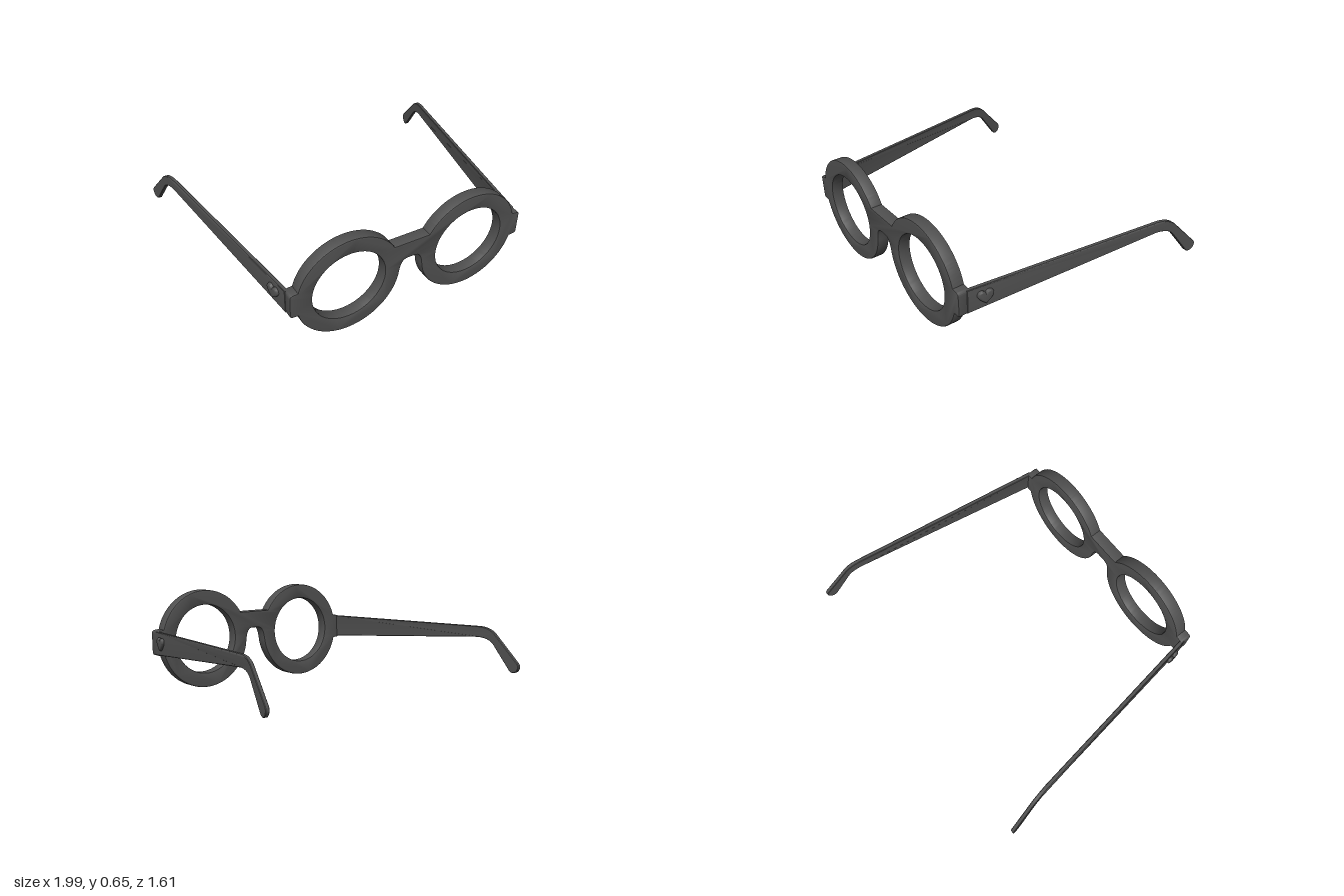
import * as THREE from 'three';
import { toCreasedNormals } from 'three/addons/utils/BufferGeometryUtils.js';

const material = new THREE.MeshStandardMaterial({ color: 0x505050 });
const CX = 0.4, CY = 0.329, R_OUT = 0.327, R_IN = 0.23;

// Extrudes a shape centred on depth 0, with a bevel kept inside the outline
function extrude(shape, depth, bevel, segments = 2) {
  const g = new THREE.ExtrudeGeometry(shape, {
    depth: depth - 2 * bevel, curveSegments: 40, bevelEnabled: true,
    bevelThickness: bevel, bevelSize: bevel, bevelOffset: -bevel, bevelSegments: segments,
  });
  return g.translate(0, 0, -depth / 2 + bevel);
}

// Moves each vertex by a rule, then rebuilds the normals
function deform(g, rule, crease = 0.6) {
  const p = g.attributes.position, v = new THREE.Vector3();
  for (let i = 0; i < p.count; i++) {
    rule(v.fromBufferAttribute(p, i));
    p.setXYZ(i, v.x, v.y, v.z);
  }
  g.computeVertexNormals();
  return toCreasedNormals(g, crease);
}

function mesh(name, geometry) {
  const m = new THREE.Mesh(geometry, material);
  m.name = name;
  return m;
}

// Front frame: half outline (bridge, rim, hinge lug), mirrored
function frontFrame() {
  const rad = THREE.MathUtils.degToRad;
  const half = new THREE.Path();
  half.moveTo(0.08, 0.49);
  half.absarc(CX, CY, R_OUT, Math.asin((0.49 - CY) / R_OUT) * -1 + Math.PI, rad(15), true);
  half.lineTo(0.745, 0.411);
  half.quadraticCurveTo(0.766, 0.41, 0.766, 0.39);
  half.lineTo(0.766, 0.268);
  half.quadraticCurveTo(0.766, 0.247, 0.745, 0.246);
  half.absarc(CX, CY, R_OUT, rad(-15), rad(-170), true);
  half.bezierCurveTo(0.07, 0.34, 0.06, 0.375, 0.02, 0.375);
  const right = half.getPoints(40);
  const left = right.map((p) => new THREE.Vector2(-p.x, p.y)).reverse();
  const shape = new THREE.Shape([...right, ...left]);
  for (const s of [-1, 1]) {
    shape.holes.push(new THREE.Path().absarc(s * CX, CY, R_IN, 0, Math.PI * 2, false));
  }
  // lean the top of the frame slightly forward
  return mesh('frontFrame', deform(extrude(shape, 0.078, 0.008), (v) => {
    v.z += 0.756 + (v.y - CY) * 0.034;
  }));
}

// Sideways position of a temple arm's middle at depth z
const armX = (z) => 0.76 + (0.71 - z) * 0.141 + Math.max(0, -0.5 - z) * 0.04;

// Temple arm: side profile drawn in (z, y), with the ear hook at the back
function temple(side) {
  const s = new THREE.Shape();
  s.moveTo(0.74, 0.253);
  s.lineTo(0.74, 0.406);
  s.lineTo(-0.5, 0.429);
  s.bezierCurveTo(-0.57, 0.43, -0.61, 0.412, -0.645, 0.37);
  s.lineTo(-0.792, 0.212);
  s.bezierCurveTo(-0.815, 0.185, -0.79, 0.146, -0.765, 0.147);
  s.quadraticCurveTo(-0.748, 0.147, -0.738, 0.16);
  s.lineTo(-0.62, 0.318);
  s.quadraticCurveTo(-0.585, 0.36, -0.5, 0.358);
  s.closePath();
  const g = extrude(s, 0.025, 0.003, 1).rotateY(-Math.PI / 2);
  return mesh('temple', deform(g, (v) => { v.x += side * armX(v.z); }));
}

// Raised heart ornament on the outside of a temple arm
function heart(side) {
  const s = new THREE.Shape();
  s.moveTo(0, -0.045);
  s.bezierCurveTo(0.02, -0.03, 0.048, -0.008, 0.048, 0.014);
  s.bezierCurveTo(0.048, 0.044, 0.01, 0.05, 0, 0.022);
  s.bezierCurveTo(-0.01, 0.05, -0.048, 0.044, -0.048, 0.014);
  s.bezierCurveTo(-0.048, -0.008, -0.02, -0.03, 0, -0.045);
  const g = new THREE.ExtrudeGeometry(s, {
    depth: 0.012, curveSegments: 10, bevelThickness: 0.012, bevelSize: 0.01,
    bevelOffset: -0.01, bevelSegments: 4,
  }).translate(0, 0, -0.006).rotateY(-Math.PI / 2);
  return mesh('heartOrnament', deform(g, (v) => {
    v.y += 0.338;
    v.z += 0.635;
    v.x += side * (armX(v.z) + 0.013);
  }, 0.9));
}

export function createModel() {
  const model = new THREE.Group();
  model.name = 'roundGlasses';
  model.add(frontFrame());
  for (const side of [-1, 1]) {
    const arm = new THREE.Group();
    arm.name = side > 0 ? 'leftArm' : 'rightArm';
    arm.add(temple(side), heart(side));
    model.add(arm);
  }
  return model;
}
